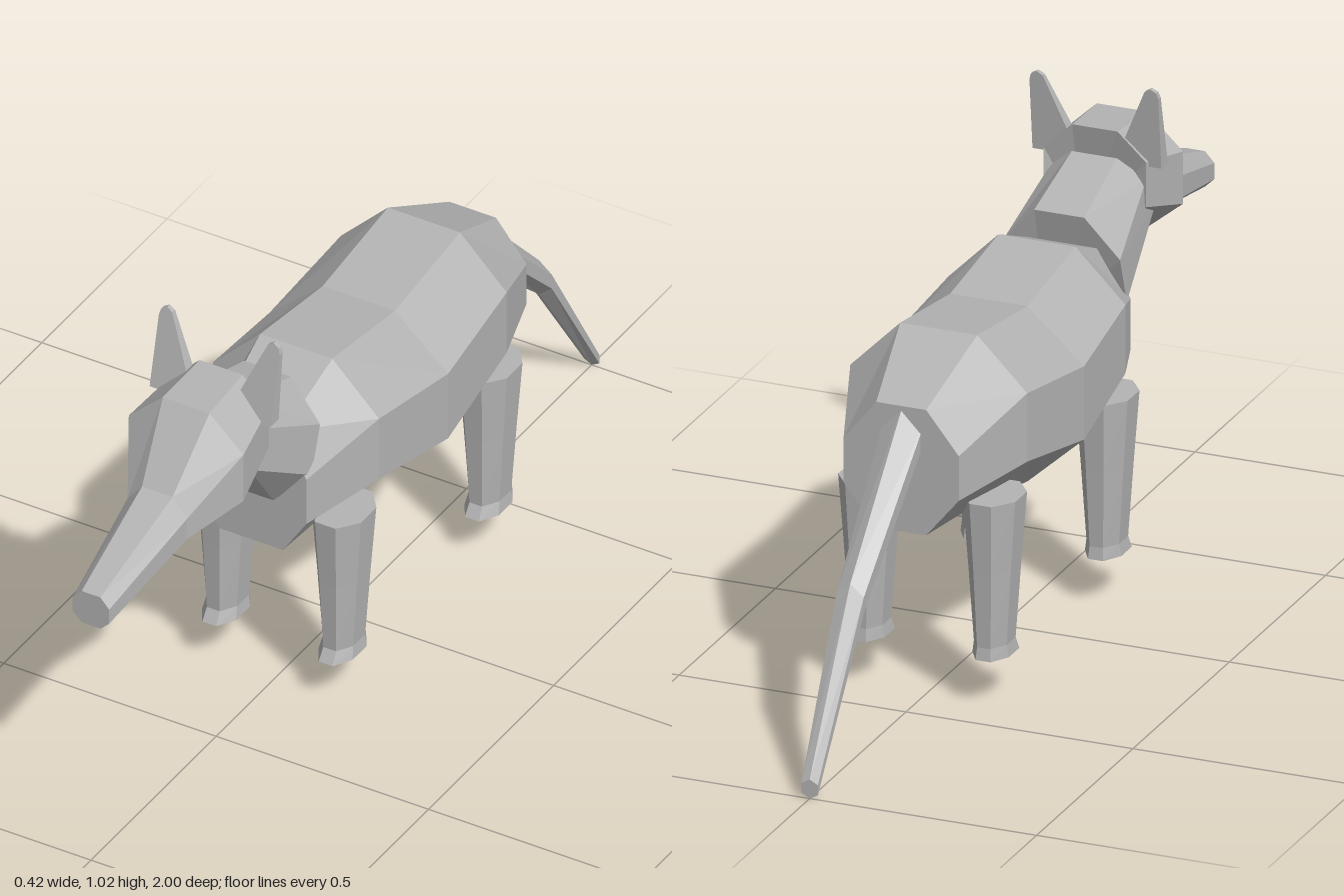
import * as THREE from 'three';

const grey = new THREE.MeshStandardMaterial({ color: 0xb4b4b4, flatShading: true });
grey.name = 'grey hide';

// Closed faceted skin over rings; each ring runs counter-clockwise seen from the first end
function loft(name, rings) {
  const pos = [];
  const tri = (...pts) => pts.forEach((p) => pos.push(...p));
  const n = rings[0].length;
  for (let r = 0; r < rings.length - 1; r++) {
    const f = rings[r], b = rings[r + 1];
    for (let i = 0; i < n; i++) {
      const j = (i + 1) % n;
      tri(f[i], b[i], f[j]);
      tri(f[j], b[i], b[j]);
    }
  }
  const first = rings[0], last = rings[rings.length - 1];
  for (let i = 1; i < n - 1; i++) {
    tri(first[0], first[i], first[i + 1]);
    tri(last[0], last[i + 1], last[i]);
  }
  const geo = new THREE.BufferGeometry();
  geo.setAttribute('position', new THREE.Float32BufferAttribute(pos, 3));
  geo.computeVertexNormals();
  const mesh = new THREE.Mesh(geo, grey);
  mesh.name = name;
  return mesh;
}

// Mirror a right-hand half section, given bottom to top as [halfWidth, y, z]
const section = (...half) => [
  ...half,
  ...half.slice().reverse().filter((p) => p[0] > 0).map(([x, y, z]) => [-x, y, z]),
];

// Upright eight-sided section
const octagon = (z, wide, flat, yBottom, yLow, yHigh, yTop) =>
  section([flat, yBottom, z], [wide, yLow, z], [wide, yHigh, z], [flat, yTop, z]);

// Six-sided leg section with one pair of corners across x
function legRing(x, y, z, rx, rz) {
  const ring = [];
  for (let i = 0; i < 8; i++) {
    const a = (i + 0.5) * Math.PI / 4, k = 1 / Math.cos(Math.PI / 8);
    ring.push([x + Math.cos(a) * rx * k, y, z - Math.sin(a) * rz * k]);
  }
  return ring;
}

// Thin tapered ear leaning back and outward
function ear(side) {
  const outline = [[0.08, 0.85], [0.1, 0.842], [0.142, 0.842], [0.142, 1.0],
    [0.138, 1.013], [0.125, 1.02], [0.112, 1.012], [0.06, 0.89]];
  const layer = (s) => outline.map(([x, y]) => {
    const t = (y - 0.842) / 0.178;
    return [side * x, y, 0.508 - 0.03 * t + s * (0.017 - 0.012 * t)];
  });
  const rings = [layer(1), layer(-1)];
  if (side < 0) rings.forEach((r) => r.reverse());
  return loft(side > 0 ? 'leftEar' : 'rightEar', rings);
}

export function createModel() {
  const model = new THREE.Group();
  model.name = 'longSnoutedAnimal';

  // Barrel body, chest to rump
  model.add(loft('body', [
    octagon(0.36, 0.13, 0.075, 0.41, 0.495, 0.605, 0.705),
    octagon(0.18, 0.195, 0.085, 0.41, 0.52, 0.67, 0.78),
    octagon(-0.07, 0.21, 0.085, 0.36, 0.472, 0.633, 0.745),
    octagon(-0.33, 0.195, 0.085, 0.41, 0.52, 0.67, 0.78),
    octagon(-0.525, 0.127, 0.055, 0.41, 0.497, 0.595, 0.685),
  ]));

  // Neck with slanted ends
  model.add(loft('neck', [
    section([0.05, 0.7, 0.56], [0.105, 0.735, 0.545], [0.105, 0.81, 0.5], [0.05, 0.855, 0.478]),
    section([0.055, 0.53, 0.365], [0.13, 0.605, 0.34], [0.13, 0.71, 0.305], [0.055, 0.795, 0.295]),
  ]));

  // Head and long snout
  model.add(loft('head', [
    octagon(1, 0.043, 0.022, 0.59, 0.61, 0.645, 0.668),
    octagon(0.735, 0.07, 0.036, 0.642, 0.667, 0.718, 0.76),
    octagon(0.62, 0.135, 0.055, 0.65, 0.715, 0.83, 0.905),
    section([0.05, 0.685, 0.535], [0.113, 0.757, 0.48], [0.113, 0.855, 0.48], [0.05, 0.913, 0.48]),
  ]));

  // Drooping six-sided tail
  model.add(loft('tail', [
    section([0, 0.57, -0.5], [0.044, 0.61, -0.505], [0.044, 0.65, -0.505], [0, 0.69, -0.51]),
    section([0, 0.31, -0.79], [0.03, 0.335, -0.79], [0.03, 0.37, -0.79], [0, 0.395, -0.79]),
    section([0, 0.004, -1], [0.018, 0.014, -1], [0.018, 0.036, -1], [0, 0.046, -1]),
  ]));

  // Ears and legs on both sides
  for (const side of [1, -1]) {
    const label = side > 0 ? 'Left' : 'Right';
    model.add(ear(side));
    for (const [end, z] of [['front', 0.222], ['back', -0.362]]) {
      const x = side * 0.137;
      model.add(loft(`${end}${label}Leg`, [
        legRing(x, 0.455, z, 0.058, 0.075),
        legRing(x, 0.3, z, 0.047, 0.065),
        legRing(x, 0.135, z, 0.036, 0.057),
        legRing(x, 0.108, z + 0.006, 0.04, 0.067),
      ]));
    }
  }
  return model;
}
